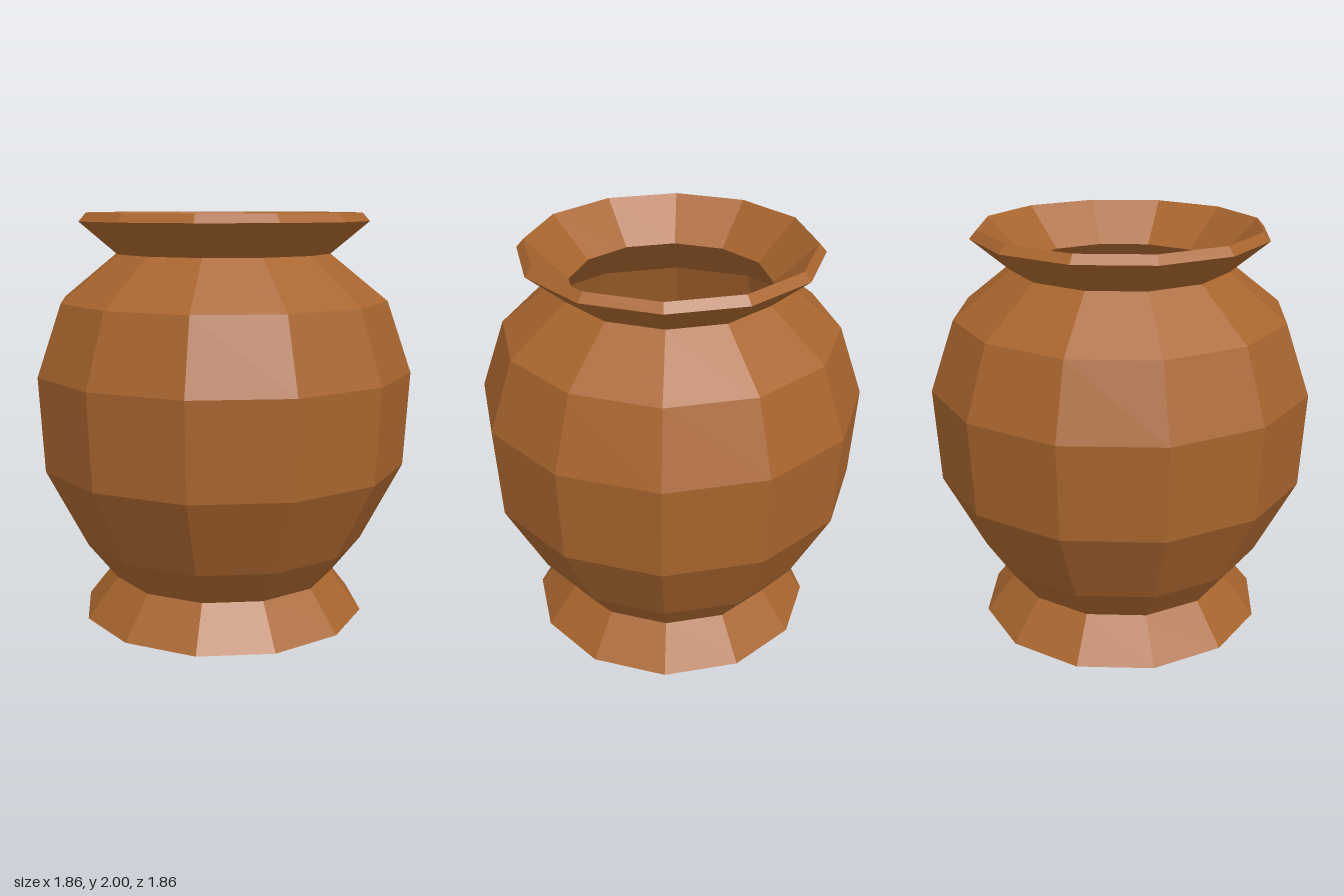
import * as THREE from 'three';

const SIDES = 12;

export function createModel() {
  const model = new THREE.Group();
  model.name = 'pot';
  const clay = new THREE.MeshStandardMaterial({ color: 0xa9652e, flatShading: true });

  // Each part is a faceted ring swept around y from [radius, height] pairs
  const turned = (name, profile) => {
    const points = profile.map(([r, y]) => new THREE.Vector2(r, y));
    const mesh = new THREE.Mesh(new THREE.LatheGeometry(points, SIDES), clay);
    mesh.name = name;
    model.add(mesh);
  };

  // Flared foot with closed underside
  turned('foot', [[0, 0], [0.715, 0], [0.56, 0.2]]);

  // Rounded belly up to the neck
  turned('belly', [
    [0.56, 0.2], [0.705, 0.385], [0.905, 0.775],
    [0.93, 1.235], [0.81, 1.58], [0.53, 1.805],
  ]);

  // Flared lip, bevelled edge and funnel down to the throat
  turned('rim', [[0.53, 1.805], [0.715, 1.96], [0.68, 2], [0.48, 1.805]]);

  // Hollow inside, from the throat down to a flat floor
  turned('interior', [
    [0.48, 1.805], [0.76, 1.56], [0.88, 1.225],
    [0.855, 0.785], [0.66, 0.41], [0.5, 0.2], [0, 0.2],
  ]);

  return model;
}
